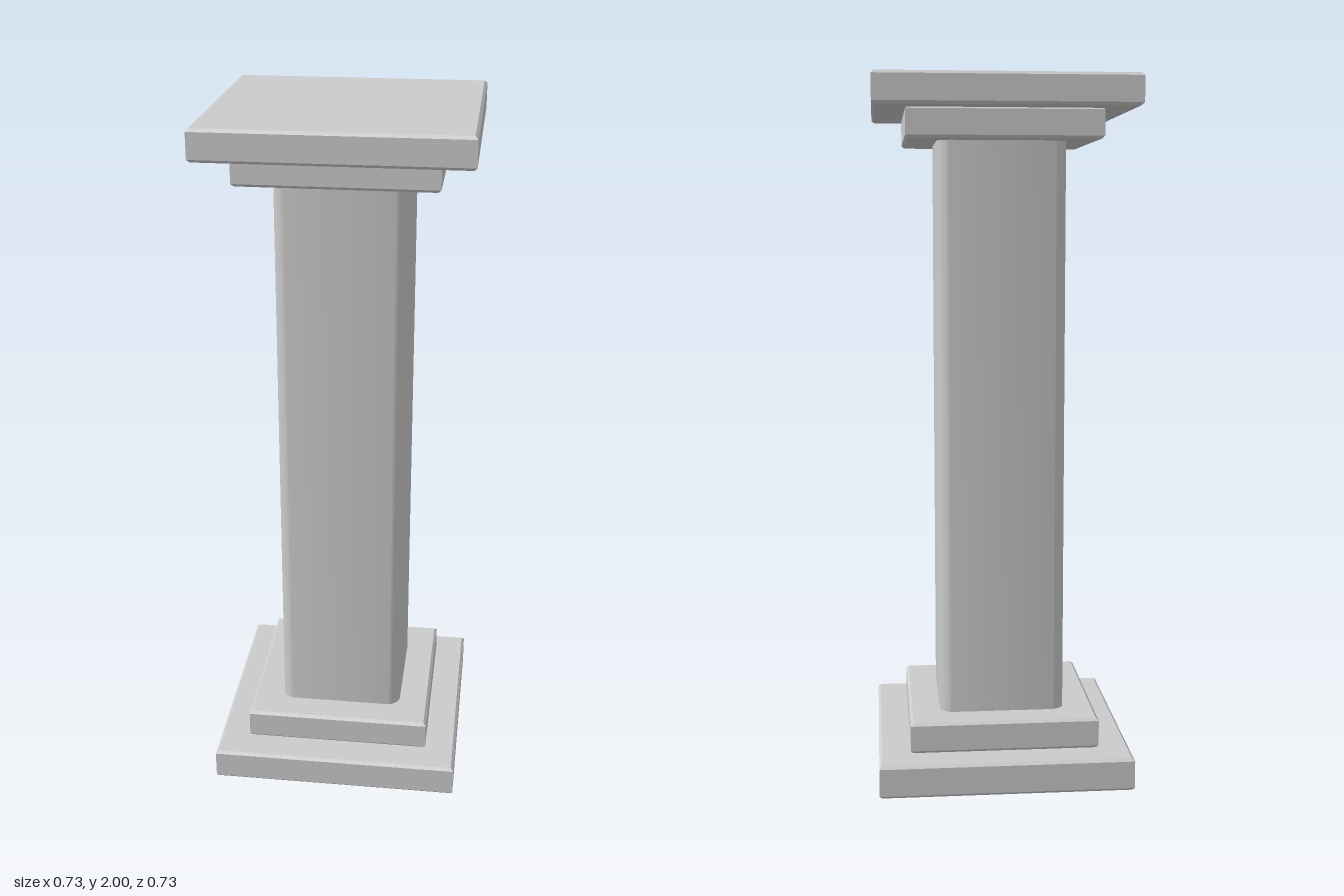
import * as THREE from 'three';
import { toCreasedNormals } from 'three/addons/utils/BufferGeometryUtils.js';

const BEVEL = 0.008;

// Square outline with rounded corners
function roundedSquare(half, r) {
  const s = new THREE.Shape();
  const c = half - r;
  s.moveTo(-c, -half);
  s.lineTo(c, -half);
  s.absarc(c, -c, r, -Math.PI / 2, 0);
  s.lineTo(half, c);
  s.absarc(c, c, r, 0, Math.PI / 2);
  s.lineTo(-c, half);
  s.absarc(-c, c, r, Math.PI / 2, Math.PI);
  s.lineTo(-half, -c);
  s.absarc(-c, -c, r, Math.PI, Math.PI * 1.5);
  return s;
}

// Square slab with chamfered edges, from y0 to y1
function slabGeometry(half, y0, y1) {
  const c = half - BEVEL;
  const shape = new THREE.Shape([[-c, -c], [c, -c], [c, c], [-c, c]].map(([x, y]) => new THREE.Vector2(x, y)));
  const geo = new THREE.ExtrudeGeometry(shape, {
    depth: y1 - y0 - 2 * BEVEL, bevelSize: BEVEL, bevelThickness: BEVEL, bevelSegments: 1,
  });
  geo.rotateX(-Math.PI / 2);
  geo.translate(0, y0 + BEVEL, 0);
  return geo;
}

// Remove the triangles lying flat on height y
function openBottom(geo, y) {
  const p = geo.attributes.position;
  const kept = [];
  for (let i = 0; i < p.count; i += 3) {
    const flat = [0, 1, 2].every((k) => Math.abs(p.getY(i + k) - y) < 1e-4);
    if (!flat) for (let k = 0; k < 3; k++) kept.push(p.getX(i + k), p.getY(i + k), p.getZ(i + k));
  }
  const out = new THREE.BufferGeometry();
  out.setAttribute('position', new THREE.Float32BufferAttribute(kept, 3));
  out.computeVertexNormals();
  return out;
}

export function createModel() {
  const model = new THREE.Group();
  model.name = 'pillar';
  const material = new THREE.MeshStandardMaterial({ color: 0xcccccc });
  const openMaterial = new THREE.MeshStandardMaterial({ color: 0xcccccc, side: THREE.DoubleSide });

  const add = (name, geo, mat = material) => {
    const mesh = new THREE.Mesh(geo, mat);
    mesh.name = name;
    model.add(mesh);
  };

  // Stepped base; the lowest slab is hollow underneath
  add('baseSlab', openBottom(slabGeometry(0.363, 0, 0.095), 0), openMaterial);
  add('baseStep', slabGeometry(0.272, 0.095, 0.185));

  // Shaft with softly rounded corners
  const shaft = new THREE.ExtrudeGeometry(roundedSquare(0.182, 0.04), {
    depth: 1.76, bevelEnabled: false, curveSegments: 8,
  });
  shaft.rotateX(-Math.PI / 2);
  shaft.translate(0, 0.092, 0);
  add('shaft', toCreasedNormals(shaft, 0.6));

  // Stepped capital
  add('capitalStep', slabGeometry(0.272, 1.832, 1.918));
  add('capitalSlab', slabGeometry(0.363, 1.914, 2));

  return model;
}
